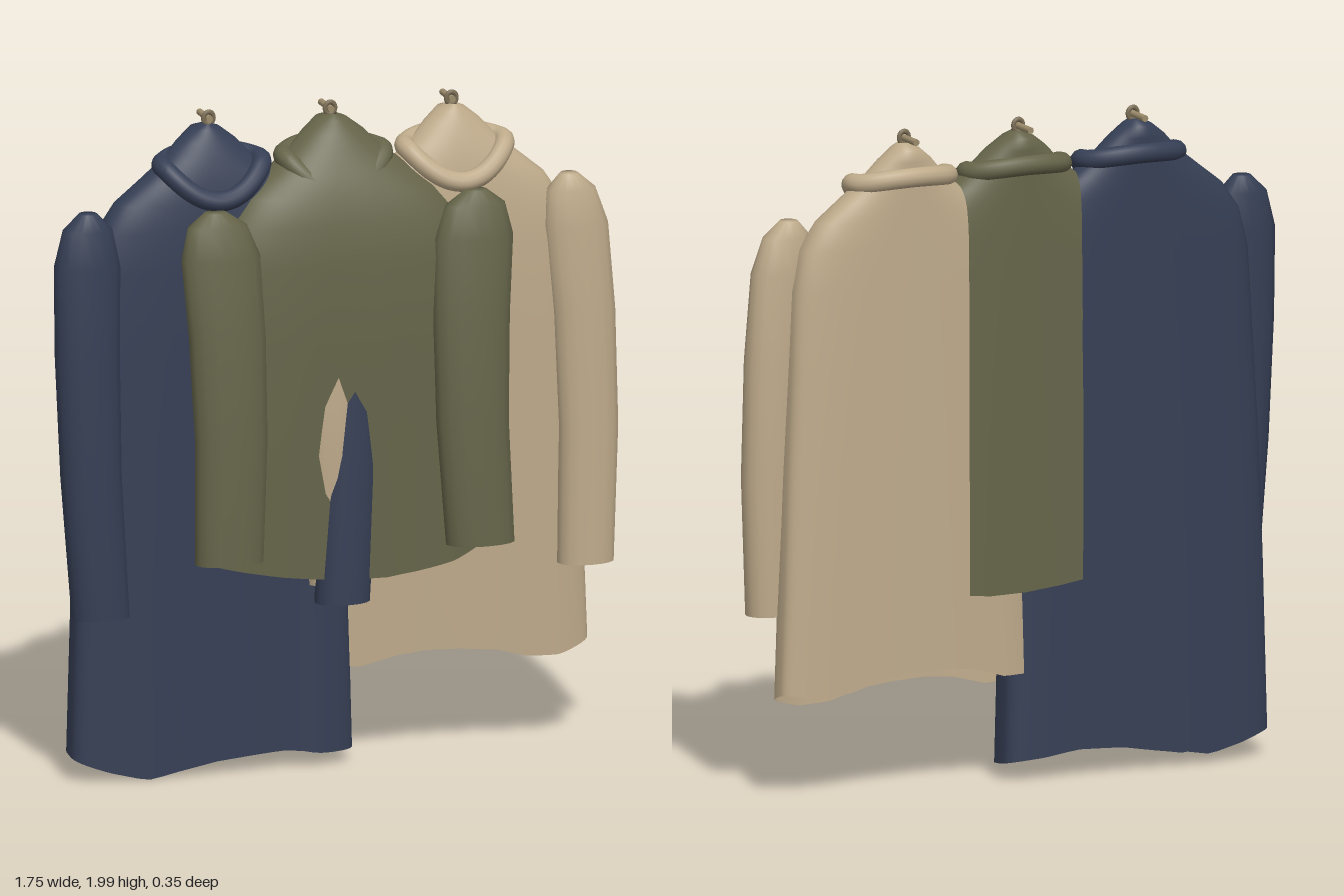
import * as THREE from 'three';

const mat = (name, color, side = THREE.DoubleSide) => {
  const m = new THREE.MeshStandardMaterial({ color, side });
  m.name = name;
  return m;
};

function addMesh(parent, name, geometry, material) {
  const m = new THREE.Mesh(geometry, material);
  m.name = name;
  parent.add(m);
  return m;
}

// Skin a stack of closed rings, listed from top to bottom
function loft(rings) {
  const n = rings[0].length, pos = [], idx = [];
  rings.forEach(r => r.forEach(p => pos.push(...p)));
  for (let i = 0; i < rings.length - 1; i++) {
    for (let j = 0; j < n; j++) {
      const k = (j + 1) % n;
      const a = i * n + j, b = i * n + k, c = a + n, d = b + n;
      idx.push(a, b, c, b, d, c);
    }
  }
  const g = new THREE.BufferGeometry();
  g.setAttribute('position', new THREE.Float32BufferAttribute(pos, 3));
  g.setIndex(idx);
  g.computeVertexNormals();
  return g;
}

// Rounded-box cross-section
function section(cx, y, hx, cz, hz, n, sides) {
  const pow = v => Math.sign(v) * Math.abs(v) ** (2 / n);
  return Array.from({ length: sides }, (_, j) => {
    const t = (j / sides) * Math.PI * 2;
    return [cx + hx * pow(Math.cos(t)), y, cz + hz * pow(Math.sin(t))];
  });
}

// Piecewise linear lookup in evenly spaced values, u from -1 to 1
function sample(values, u) {
  const f = THREE.MathUtils.clamp((u + 1) / 2, 0, 1) * (values.length - 1);
  const i = Math.min(Math.floor(f), values.length - 2);
  return THREE.MathUtils.lerp(values[i], values[i + 1], f - i);
}

// Coat outline: y, half width, front z when flat, front z when full, squareness
const coatProfile = [
  [1.96, 0.012, -0.06, -0.06, 2],
  [1.945, 0.045, -0.045, -0.035, 2],
  [1.91, 0.09, -0.03, -0.01, 2],
  [1.86, 0.137, -0.01, 0.015, 2.1],
  [1.8, 0.213, 0.005, 0.045, 2.3],
  [1.74, 0.29, 0.015, 0.07, 2.5],
  [1.66, 0.345, 0.023, 0.092, 2.8],
  [1.54, 0.375, 0.03, 0.106, 3],
  [1.3, 0.388, 0.03, 0.106, 3.3],
  [1, 0.405, 0.028, 0.097, 3.5],
  [0.62, 0.42, 0.025, 0.086, 3.7],
  [0.04, 0.435, 0.022, 0.08, 3.7],
];

// Coat body with a flat back, soft folds and a wavy open hem
function bodyGeometry({ x, width, full, drop, hem, backLift, fold }) {
  const hemTop = Math.max(...hem) + 0.02;
  const last = coatProfile.findIndex(row => row[0] < hemTop);
  const rings = coatProfile.slice(0, last + 1).map(([y, w, flatZ, fullZ, n], i) => {
    const drape = THREE.MathUtils.clamp((1.5 - y) / 1.2, 0, 1);
    const hw = w * width;
    const zf = (full ? fullZ : flatZ) - drop * drape;
    const zb = i === 0 ? -0.1 : -0.146;
    const ring = section(x, y, hw, (zf + zb) / 2, (zf - zb) / 2, n, 72);
    return ring.map(([px, py, pz]) => {
      const u = (px - x) / hw;
      const front = (pz - zb) / (zf - zb);
      if (i === last) py = sample(hem, u) + backLift * (1 - front);
      pz += drape * front * 0.004 * Math.sin(u * 11);
      if (fold && u > 0.63 && front > 0.5) pz += 0.014 * drape;
      return [px, py, pz];
    });
  });
  return loft(rings);
}

// Sleeve shape: distance along, width factor, depth factor
const sleeveProfile = [
  [0, 0.27, 0.45], [0.04, 0.76, 0.78], [0.13, 1.02, 0.97],
  [0.35, 0.99, 1.03], [0.65, 0.93, 1.02], [1, 0.88, 0.95],
];

// Sleeve along a bent line, with a blunt top and a flat cuff
function sleeveGeometry(radius, top, mid, bottom) {
  const [a, m, b] = [top, mid, bottom].map(p => new THREE.Vector3(...p));
  m.y = (a.y + b.y) / 2;
  const bend = m.multiplyScalar(2).addScaledVector(a, -0.5).addScaledVector(b, -0.5);
  const path = new THREE.QuadraticBezierCurve3(a, bend, b);
  const ring = ([t, w, d], s = 1) => {
    const p = path.getPoint(t);
    return section(p.x, p.y, s * w * radius, p.z, s * d * 0.063, 2.2, 16);
  };
  const cuff = sleeveProfile[sleeveProfile.length - 1];
  return loft([
    ring(sleeveProfile[0], 0.02),
    ...sleeveProfile.map(row => ring(row)),
    ring(cuff), ring(cuff, 0.01),
  ]);
}

// Rolled collar that dips at the front
function collarGeometry(x) {
  const pts = Array.from({ length: 20 }, (_, i) => {
    const t = (i / 20) * Math.PI * 2, s = Math.sin(t);
    const y = 1.845 + (s > 0 ? -0.098 : 0.02) * s * s;
    return new THREE.Vector3(x + 0.153 * Math.cos(t), y, -0.055 + 0.087 * s);
  });
  return new THREE.TubeGeometry(new THREE.CatmullRomCurve3(pts, true), 64, 0.03, 12, true);
}

export function createModel() {
  const group = new THREE.Group();
  group.name = 'hangingCoats';
  const metal = mat('pegMetal', 0x9c8c6c, THREE.FrontSide);
  const loopMat = mat('hangingLoop', 0x7a6d55, THREE.FrontSide);

  const navyCoat = {
    name: 'navyCoat', x: -0.375, pegX: -0.368, material: mat('navyCloth', 0x363f55),
    width: 1, full: false, drop: 0, fold: true, backLift: 0.03,
    hem: [0.065, 0.03, 0.005, 0.025, 0.045, 0.055, 0.06, 0.045, 0.038],
    rightSleeve: [0.1, [-0.77, 1.735, 0], [-0.772, 0, 0.012], [-0.735, 0.51, 0.012]],
    leftSleeve: [0.095, [0.02, 1.72, 0], [0.027, 0, 0.04], [0.002, 0.51, 0.052]],
  };
  const oliveCoat = {
    name: 'oliveCoat', x: 0.015, pegX: 0.01, material: mat('oliveCloth', 0x66654a),
    width: 1.04, full: true, drop: 0, fold: false, backLift: 0,
    hem: [0.65, 0.625, 0.605, 0.59, 0.58, 0.578, 0.59, 0.61, 0.65],
    rightSleeve: [0.12, [-0.395, 1.725, 0.065], [-0.364, 0, 0.104], [-0.369, 0.67, 0.112]],
    leftSleeve: [0.12, [0.415, 1.73, 0.065], [0.386, 0, 0.104], [0.411, 0.67, 0.112]],
  };
  const beigeCoat = {
    name: 'beigeCoat', x: 0.39, pegX: 0.387, material: mat('beigeCloth', 0xbfab8b),
    width: 0.945, full: false, drop: 0.024, fold: false, backLift: 0.05,
    hem: [0.29, 0.285, 0.315, 0.325, 0.32, 0.31, 0.28, 0.275, 0.3],
    rightSleeve: [0.097, [0.02, 1.72, -0.01], [-0.03, 0, 0.043], [-0.01, 0.56, 0.012]],
    leftSleeve: [0.098, [0.725, 1.74, 0], [0.778, 0, 0.003], [0.772, 0.56, 0.008]],
  };

  for (const c of [navyCoat, oliveCoat, beigeCoat]) {
    const coat = new THREE.Group();
    coat.name = c.name;
    group.add(coat);
    addMesh(coat, 'body', bodyGeometry(c), c.material);
    addMesh(coat, 'collar', collarGeometry(c.pegX), c.material);
    addMesh(coat, 'rightSleeve', sleeveGeometry(...c.rightSleeve), c.material);
    addMesh(coat, 'leftSleeve', sleeveGeometry(...c.leftSleeve), c.material);

    // Wall peg with the loop hanging over it
    const peg = addMesh(coat, 'peg', new THREE.CylinderGeometry(0.01, 0.01, 0.095, 12), metal);
    peg.rotation.x = Math.PI / 2;
    peg.position.set(c.pegX, 1.973, -0.118);
    const loop = addMesh(coat, 'loop', new THREE.TorusGeometry(0.016, 0.007, 8, 20), loopMat);
    loop.scale.y = 1.13;
    loop.position.set(c.pegX, 1.974, -0.083);
  }
  return group;
}
